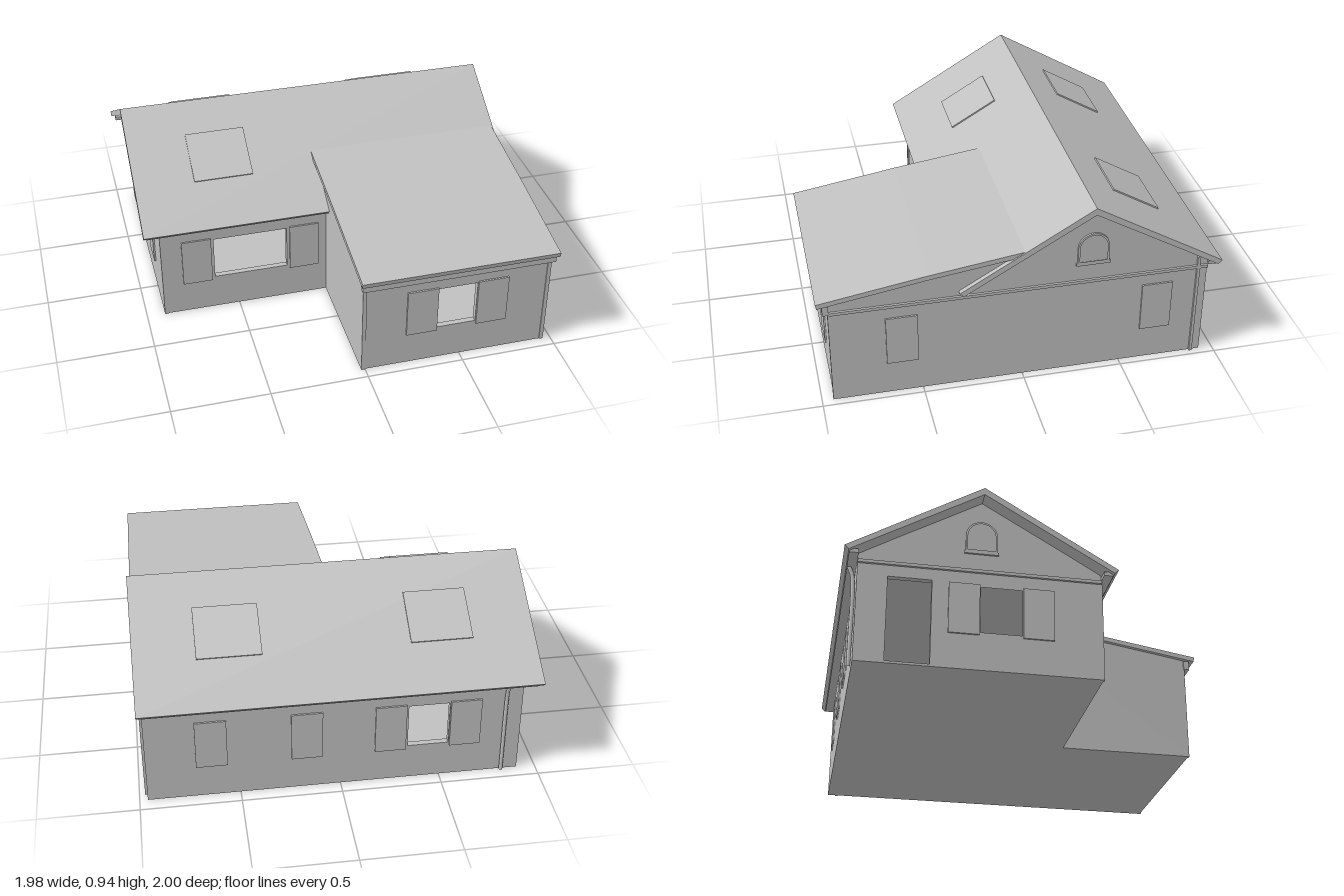
import * as THREE from 'three';

export function createModel() {
  const house = new THREE.Group();
  const grey = new THREE.MeshStandardMaterial({ color: 0xc0c0c0 });
  grey.name = 'plain grey';

  const add = (name, geo) => {
    const m = new THREE.Mesh(geo, grey);
    m.name = name;
    house.add(m);
    return m;
  };
  // box given by its low and high corners
  const box = (name, x0, x1, y0, y1, z0, z1) =>
    add(name, new THREE.BoxGeometry(x1 - x0, y1 - y0, z1 - z0)
      .translate((x0 + x1) / 2, (y0 + y1) / 2, (z0 + z1) / 2));
  const rect = (a0, a1, b0, b1) => [[a0, b0], [a1, b0], [a1, b1], [a0, b1]];
  const extrude = (pts, holes, depth) => {
    const toV = p => new THREE.Vector2(p[0], p[1]);
    const shape = new THREE.Shape(pts.map(toV));
    holes.forEach(h => shape.holes.push(new THREE.Path(h.map(toV))));
    return new THREE.ExtrudeGeometry(shape, { depth, bevelEnabled: false, curveSegments: 12 });
  };
  // outline in (x, y), spanning z0 to z1
  const alongZ = (name, pts, z0, z1, holes = []) =>
    add(name, extrude(pts, holes, z1 - z0).translate(0, 0, z0));
  // outline in (z, y), spanning x0 to x1
  const alongX = (name, pts, x0, x1, holes = []) => {
    const flip = list => list.map(([z, y]) => [-z, y]);
    return add(name, extrude(flip(pts), holes.map(flip), x1 - x0)
      .rotateY(Math.PI / 2).translate(x0, 0, 0));
  };

  const L = -0.905, R = 0.96, A = -0.02;          // outer faces of the side walls
  const BACK = -0.93, MID = 0.25, FRONT = 0.94;   // outer faces of the end walls
  const T = 0.03, RIDGE = -0.34;
  const winY = [0.195, 0.435];

  // Floor and ceiling
  for (const [name, y0, y1] of [['floor', 0, 0.012], ['ceiling', 0.512, 0.522]]) {
    box(name, L, R, y0, y1, BACK, MID);
    box(name + 'Wing', A, R, y0, y1, MID, FRONT);
  }

  // Front and back walls with window openings
  alongZ('backWall', rect(L, R, 0, 0.54), BACK, BACK + T, [rect(-0.54, -0.335, ...winY)]);
  alongZ('frontWall', rect(L, A, 0, 0.54), MID - T, MID, [rect(-0.625, -0.235, ...winY)]);
  alongZ('wingFrontWall', rect(A, R, 0, 0.56), FRONT - T, FRONT, [rect(0.365, 0.575, ...winY)]);

  // Side walls with gables
  alongX('leftWall', [
    [BACK, 0], [-0.785, 0], [-0.785, 0.45], [-0.575, 0.45], [-0.575, 0],
    [MID, 0], [MID, 0.556], [RIDGE, 0.905], [BACK, 0.556],
  ], L, L + T, [rect(-0.34, -0.14, ...winY)]);
  alongX('rightWall', [
    [BACK, 0], [FRONT, 0], [FRONT, 0.568], [0.46, 0.65], [0.04, 0.706], [0, 0.704],
    [RIDGE, 0.905], [BACK, 0.556],
  ], R - T, R);
  alongX('wingLeftWall', [
    [MID - T, 0], [FRONT, 0], [FRONT, 0.568], [0.46, 0.65], [0.02, 0.708], [MID - T, 0.56],
  ], A, A + T);

  // Main gable roof
  alongX('mainRoof', [
    [-0.998, 0.55], [RIDGE, 0.937], [0.318, 0.55], [0.298, 0.53], [RIDGE, 0.9], [-0.978, 0.53],
  ], -0.99, 0.985);
  // Low wing roof with a slight break in its slope
  alongX('wingRoof', [
    [-0.01, 0.738], [0.46, 0.672], [1.0, 0.585], [0.995, 0.56], [0.46, 0.647], [0.04, 0.705],
  ], -0.04, 0.977);

  // Flush skylights on the slopes: x from, x to, slope side
  const pitch = Math.atan2(0.387, 0.658);
  for (const [x0, x1, side] of [[-0.68, -0.37, 1], [-0.68, -0.37, -1], [0.36, 0.68, -1]]) {
    const run = 0.298;
    const s = add('skylight', new THREE.BoxGeometry(x1 - x0, 0.014, 0.28));
    s.position.set((x0 + x1) / 2, 0.937 - run * Math.tan(pitch), RIDGE + side * run);
    s.rotation.x = side * pitch;
  }

  // Gutters below the eaves
  box('frontGutter', -0.97, A, 0.525, 0.545, MID, 0.295);
  box('backGutter', -0.97, 0.97, 0.525, 0.545, -0.975, BACK);
  box('wingGutter', -0.03, 0.97, 0.512, 0.562, FRONT, 0.97);

  // Shutters
  const P = 0.009;
  const sy = [0.18, 0.445];
  for (const x of [-0.795, -0.22]) box('frontShutter', x, x + 0.155, ...sy, MID, MID + P);
  for (const x of [0.21, 0.578]) box('wingShutter', x, x + 0.16, ...sy, FRONT, FRONT + P);
  for (const x of [-0.7, -0.325, 0.09, 0.56])
    box('backShutter', x, x + 0.155, ...sy, BACK - P, BACK);
  for (const z of [0.52, -0.755]) box('rightShutter', R, R + P, ...sy, z, z + 0.155);
  for (const z of [-0.495, -0.135]) box('leftShutter', L - P, L, ...sy, z, z + 0.15);

  // Gable ledges and arched vents
  box('rightLedge', R, R + 0.012, 0.508, 0.524, BACK, FRONT);
  box('leftLedge', L - 0.012, L, 0.508, 0.524, BACK, MID);
  const arch = r => {
    const pts = [[RIDGE - r, 0.625], [RIDGE + r, 0.625]];
    for (let i = 0; i <= 12; i++) {
      const a = Math.PI * i / 12;
      pts.push([RIDGE + r * Math.cos(a), 0.71 + r * Math.sin(a)]);
    }
    return pts;
  };
  for (const [x0, x1] of [[R, R + 0.01], [L - 0.01, L]]) {
    const inner = arch(0.068).map(([z, y]) => [z, Math.max(y, 0.632)]);
    alongX('ventFrame', arch(0.078), x0, x1, [inner]);
    box('ventSill', x0, x1, 0.611, 0.626, RIDGE - 0.084, RIDGE + 0.084);
  }

  // Corner trims
  for (const [x, z] of [[L, MID], [R - 0.02, FRONT], [A, FRONT]])
    box('cornerTrim', x, x + 0.02, 0, 0.52, z, z + 0.005);

  // Downspouts
  box('rightDownspout', R, R + 0.012, 0, 0.575, -0.89, -0.875);
  const path = new THREE.CatmullRomCurve3([
    [-0.82, 0.005, -0.942], [-0.82, 0.44, -0.942], [-0.82, 0.49, -0.948], [-0.82, 0.53, -0.965],
  ].map(p => new THREE.Vector3(...p)));
  add('backDownspout', new THREE.TubeGeometry(path, 12, 0.01, 8));

  // Wall lamp inside
  add('lampShade', new THREE.CylinderGeometry(0.014, 0.023, 0.055, 12).translate(0.48, 0.362, -0.875));
  add('lampStem', new THREE.CylinderGeometry(0.005, 0.005, 0.045, 8).translate(0.48, 0.312, -0.875));

  return house;
}
